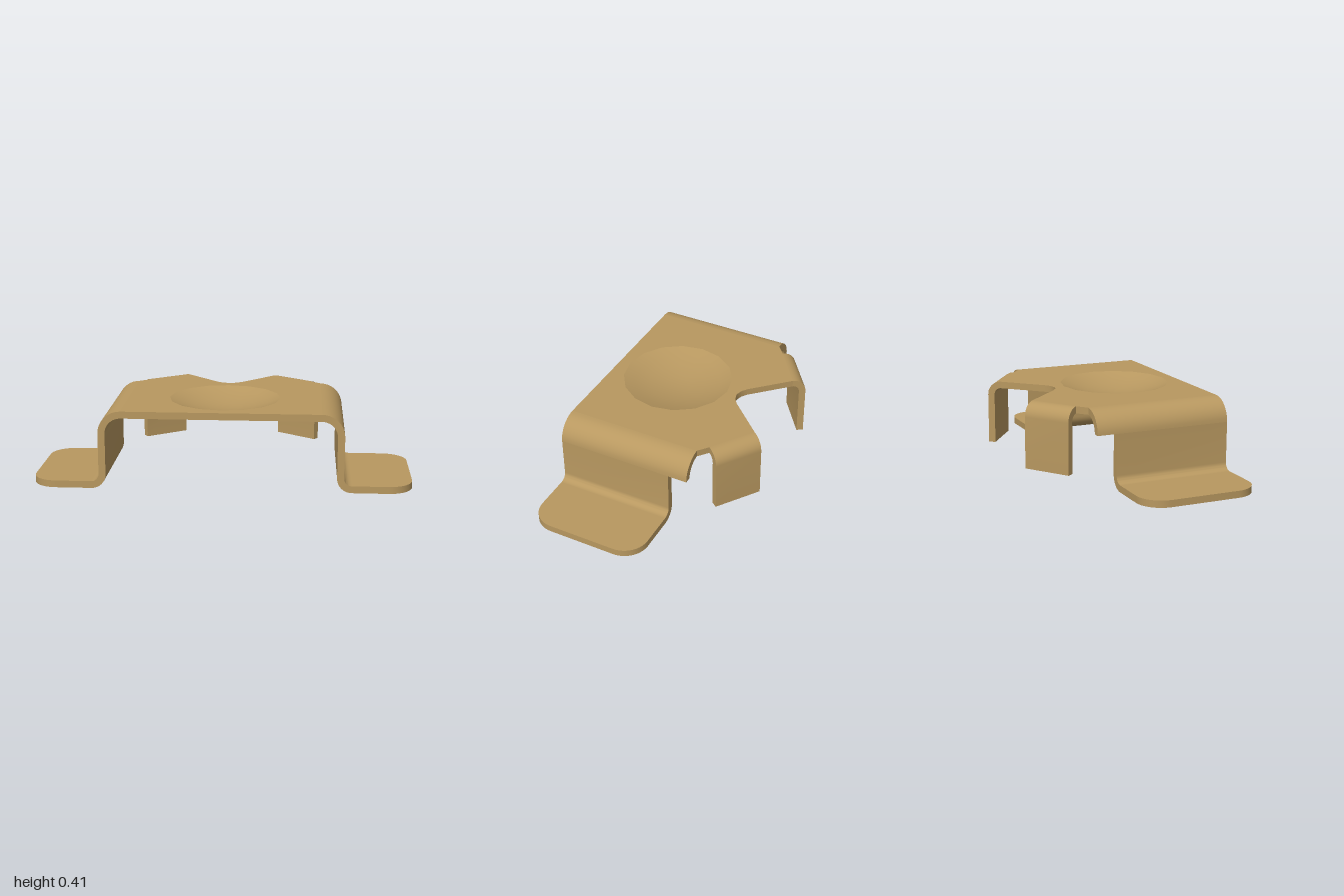
import * as THREE from 'three';
import { toCreasedNormals } from 'three/addons/utils/BufferGeometryUtils.js';

const T = 0.037;          // sheet thickness
const TOP = 0.415;        // height of the upper face
const FRONT = 0.5;        // z of the straight front edge
const DISH = { z: 0.14, r: 0.3, depth: 0.06, sides: 16 };

// Points along an arc, angles in degrees
function arc(cx, cy, r, from, to, n = 10) {
  return Array.from({ length: n + 1 }, (_, i) => {
    const a = THREE.MathUtils.degToRad(from + ((to - from) * i) / n);
    return [cx + r * Math.cos(a), cy + r * Math.sin(a)];
  });
}

const mirrorX = (pts, s) => pts.map(([x, y]) => [x * s, y]);
const toVectors = (pts) => pts.map(([x, y]) => new THREE.Vector2(x, y));

// Profile in x/y, extruded from z0 to z1
function prism(pts, z0, z1, hole) {
  const shape = new THREE.Shape(toVectors(pts));
  if (hole) shape.holes.push(new THREE.Path(toVectors(hole)));
  const geo = new THREE.ExtrudeGeometry(shape, { depth: z1 - z0, bevelEnabled: false });
  geo.translate(0, 0, z0);
  return toCreasedNormals(geo, 0.6);
}

// Plan outline in x/z, raised from y0 by one sheet thickness
function slab(pts, y0, hole) {
  const flip = (list) => list.map(([x, z]) => [x, -z]);
  return prism(flip(pts), y0, y0 + T, hole && flip(hole)).rotateX(-Math.PI / 2);
}

export function createModel() {
  const group = new THREE.Group();
  const brass = new THREE.MeshStandardMaterial({ color: 0xb89860 });
  brass.name = 'brass';

  const add = (name, geo) => {
    const mesh = new THREE.Mesh(geo, brass);
    mesh.name = name;
    group.add(mesh);
    return mesh;
  };

  // Top plate with the V notch at the back and a round opening for the dish
  const half = [
    [0.04, -0.228], [0.07, -0.25], [0.251, -0.44],
    [0.466, -0.285], [0.52, -0.24], [0.52, FRONT],
  ];
  const outline = [[0, -0.217], ...half, ...mirrorX(half, -1).reverse()];
  const rim = Array.from({ length: DISH.sides }, (_, i) => {
    const a = (i / DISH.sides) * Math.PI * 2;
    return [DISH.r * Math.sin(a), DISH.z + DISH.r * Math.cos(a)];
  });
  add('topPlate', slab(outline, TOP - T, rim));

  // Shallow dish pressed into the plate
  const radii = [0, 0.08, 0.16, 0.24, DISH.r];
  const dip = (r) => -DISH.depth * (1 - (r / DISH.r) ** 2);
  const under = radii.map((r) => [r, TOP - T + dip(r)]);
  const upper = radii.map((r) => [r, TOP + dip(r)]).reverse();
  const dish = new THREE.LatheGeometry(toVectors([...under, ...upper]), DISH.sides);
  add('pressedDish', toCreasedNormals(dish, 0.6)).position.z = DISH.z;

  // Cross-sections of the formed sides and the hook tabs
  const shoulder = [...arc(0.52, 0.295, 0.12, 90, 0), ...arc(0.52, 0.295, 0.12 - T, 0, 90)];
  const wall = [
    [0.64, 0.295], ...arc(0.68, 0.077, 0.04, 180, 270),
    ...arc(0.68, 0.077, 0.077, 270, 180), [0.603, 0.295],
  ];
  const foot = [
    [0.68, -0.135], ...arc(0.87, -0.005, 0.13, -90, 0),
    ...arc(0.87, 0.37, 0.13, 0, 90), [0.68, FRONT],
  ];
  const hook = [
    ...arc(0, 0.34, 0.075, 90, 0), [0.075, 0.065],
    [0.075 - T, 0.065], ...arc(0, 0.34, 0.075 - T, 0, 90),
  ];

  for (const s of [1, -1]) {
    const side = s > 0 ? 'left' : 'right';
    add(side + 'Shoulder', prism(mirrorX(shoulder, s), -0.24, FRONT));
    add(side + 'Wall', prism(mirrorX(wall, s), -0.135, FRONT));
    add(side + 'Foot', slab(mirrorX(foot, s), 0));

    // Angled tab bent down at the back
    const tab = add(side + 'HookTab', prism(hook, -0.1325, 0.1325));
    tab.position.set(0.3586 * s, 0, -0.3617);
    tab.rotation.y = s > 0 ? 0.946 : Math.PI - 0.946;
  }
  return group;
}
